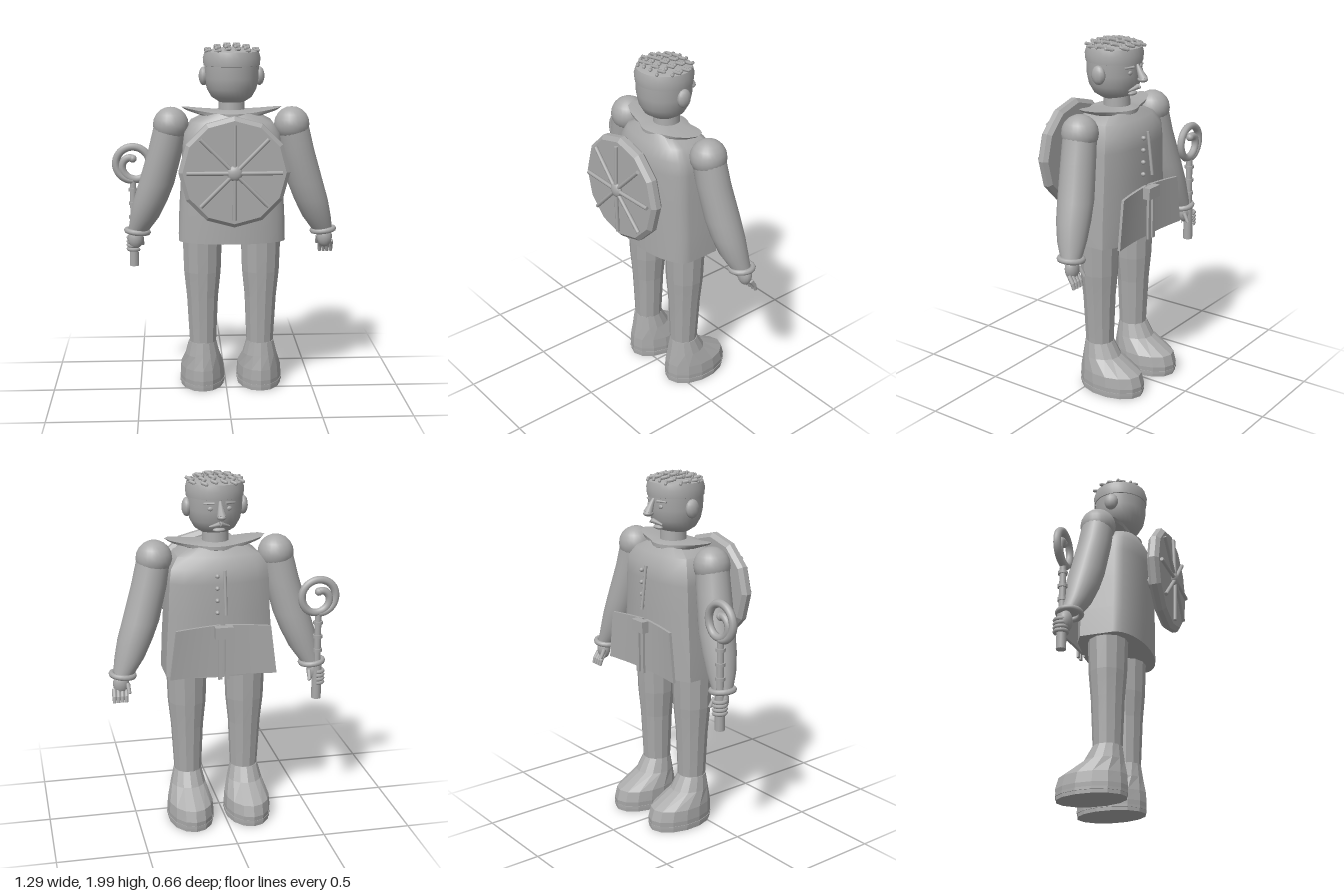
import * as THREE from 'three';
import { toCreasedNormals } from 'three/addons/utils/BufferGeometryUtils.js';

const V = (x, y, z) => new THREE.Vector3(x, y, z);

// Skin a stack of closed rings (bottom to top) and cap both ends
function loft(rings, crease) {
  const n = rings[0].length, pos = [], idx = [];
  rings.forEach(r => r.forEach(p => pos.push(p.x, p.y, p.z)));
  for (let i = 0; i < rings.length - 1; i++) {
    for (let j = 0; j < n; j++) {
      const a = i * n + j, b = i * n + (j + 1) % n;
      idx.push(a, a + n, b, b, a + n, b + n);
    }
  }
  [0, rings.length - 1].forEach((k, end) => {
    const c = rings[k].reduce((s, p) => s.add(p), V(0, 0, 0)).divideScalar(n);
    const ci = pos.length / 3;
    pos.push(c.x, c.y, c.z);
    for (let j = 0; j < n; j++) {
      const a = k * n + j, b = k * n + (j + 1) % n;
      if (end) idx.push(ci, b, a); else idx.push(ci, a, b);
    }
  });
  const g = new THREE.BufferGeometry();
  g.setAttribute('position', new THREE.Float32BufferAttribute(pos, 3));
  g.setIndex(idx);
  return toCreasedNormals(g, crease);
}

// Horizontal ellipse
function ring(cx, y, cz, rx, rz, n) {
  return Array.from({ length: n }, (_, j) => {
    const t = (j + 0.5) / n * Math.PI * 2;
    return V(cx + Math.cos(t) * rx, y, cz + Math.sin(t) * rz);
  });
}

export function createModel() {
  const grey = new THREE.MeshStandardMaterial({ color: 0xaaaaaa });
  const model = new THREE.Group();
  const figure = new THREE.Group();
  figure.name = 'figure';
  figure.position.x = 0.03;
  model.add(figure);

  function add(name, geo, x = 0, y = 0, z = 0, parent = figure) {
    const m = new THREE.Mesh(geo, grey);
    m.name = name;
    m.position.set(x, y, z);
    parent.add(m);
    return m;
  }
  const flat = g => toCreasedNormals(g, 0.05);
  const ball = (name, x, y, z, rx, ry, rz, n = 14) => {
    const m = add(name, new THREE.SphereGeometry(1, n, 10), x, y, z);
    m.scale.set(rx, ry, rz);
    return m;
  };
  // Rod between two points
  function rod(name, a, b, r0, r1 = r0, n = 8) {
    const m = add(name, new THREE.CylinderGeometry(r1, r0, a.distanceTo(b), n));
    m.position.copy(a).lerp(b, 0.5);
    m.quaternion.setFromUnitVectors(V(0, 1, 0), b.clone().sub(a).normalize());
    return m;
  }

  // Coat: round back, straight sides, shallow pointed front
  const coat = [[0.89, 0.3, 0.155, -0.225], [1.05, 0.295, 0.157, -0.225], [1.25, 0.282, 0.157, -0.225],
    [1.42, 0.275, 0.156, -0.225], [1.5, 0.265, 0.153, -0.22], [1.56, 0.225, 0.125, -0.18], [1.61, 0.13, 0.095, -0.13]];
  add('coat', loft(coat.map(([y, w, back, front]) => {
    const pts = [];
    for (let j = 0; j <= 16; j++) {
      const t = j / 16 * Math.PI;
      pts.push(V(Math.cos(t) * w, y, 0.03 + Math.sin(t) * (back - 0.03)));
    }
    [[-1, 0.7], [-0.75, 0.88], [-0.35, 0.97], [0, 1], [0.35, 0.97], [0.75, 0.88], [1, 0.7]]
      .forEach(([x, z]) => pts.push(V(x * w, y, z * front)));
    return pts;
  }), 0.7));

  // Collar with raised side points
  const collar = (y, base, point, lift) => Array.from({ length: 32 }, (_, j) => {
    const t = j / 32 * Math.PI * 2, k = Math.pow(Math.abs(Math.cos(t)), 8);
    const r = base + point * k;
    return V(Math.cos(t) * r, y + lift * k, -0.025 + Math.sin(t) * r);
  });
  add('collar', loft([collar(1.57, 0.1, 0, 0), collar(1.59, 0.13, 0.13, 0.035),
    collar(1.61, 0.13, 0.15, 0.03), collar(1.625, 0.09, 0, 0)], 0.7));

  // Neck, head and hair cap
  add('neck', new THREE.CylinderGeometry(0.07, 0.075, 0.1, 20), 0, 1.65, -0.04);
  const lathe = pts => toCreasedNormals(new THREE.LatheGeometry(pts.map(p => new THREE.Vector2(...p)), 28), 0.7);
  add('head', lathe([[0, 1.665], [0.07, 1.668], [0.112, 1.695], [0.138, 1.74], [0.15, 1.8], [0.152, 1.88]]), 0, 0, -0.023);
  add('hairCap', lathe([[0.145, 1.865], [0.156, 1.868], [0.16, 1.91], [0.15, 1.945], [0.09, 1.963], [0, 1.97]]), 0, 0, -0.023);
  for (let i = 0; i < 6; i++) {
    for (let j = 0; j < 9; j++) {
      const x = (i - 2.5) * 0.053, z = (j - 4) * 0.03;
      const d = Math.hypot(x, z);
      if (d > 0.158) continue;
      const c = add('hairCurl', new THREE.CapsuleGeometry(0.0095, 0.028, 2, 6), x, 1.983 - d * d * 1.5, z - 0.03);
      c.rotation.set(1.25, 0, (j % 2 ? 1 : -1) * 0.75);
    }
  }

  // Face: nose, brows, eyes, moustache, ears
  rod('nose', V(0, 1.86, -0.172), V(0, 1.785, -0.212), 0.008, 0.026, 8);
  ball('noseTip', 0, 1.783, -0.208, 0.026, 0.016, 0.03);
  ball('mouth', 0, 1.7, -0.143, 0.035, 0.012, 0.02);
  for (const s of [-1, 1]) {
    rod('moustache', V(0, 1.74, -0.178), V(s * 0.055, 1.722, -0.156), 0.014, 0.005);
    rod('brow', V(s * 0.03, 1.85, -0.172), V(s * 0.085, 1.848, -0.15), 0.008, 0.005);
    ball('eye', s * 0.05, 1.82, -0.163, 0.016, 0.012, 0.008);
    ball('ear', s * 0.155, 1.81, -0.03, 0.028, 0.052, 0.042, 10);
  }

  for (const s of [-1, 1]) {
    // Legs and shoes
    const cx = s * 0.167;
    add('leg', loft([[0.27, 0.165, 0.078, 0.08, -0.04], [0.55, 0.167, 0.092, 0.092, -0.04],
      [0.7, 0.167, 0.108, 0.105, -0.04], [0.9, 0.167, 0.115, 0.112, -0.04]]
      .map(([y, x, rx, rz, z]) => ring(s * x, y, z, rx, rz, 12)), 0.05));
    add('shoe', loft([[0, 0.128, 0.07, -0.325], [0.06, 0.131, 0.074, -0.33], [0.12, 0.126, 0.07, -0.312],
      [0.2, 0.1, 0.055, -0.17], [0.28, 0.08, 0.042, -0.122]]
      .map(([y, w, b, f]) => ring(cx, y, (b + f) / 2, w, (b - f) / 2, 14)), 0.05));
    add('soleEdge', loft([0.02, 0.035].map(y => ring(cx, y, -0.128, 0.133, 0.202, 14)), 0.05));

    // Sleeve, shoulder cap and cuff
    add('sleeve', loft([[0.92, 0.53, -0.125, 0.06], [1.0, 0.495, -0.105, 0.083], [1.1, 0.46, -0.09, 0.097],
      [1.2, 0.425, -0.078, 0.102], [1.4, 0.37, -0.055, 0.098], [1.54, 0.34, -0.045, 0.094]]
      .map(([y, x, z, r]) => ring(s * x, y, z, r, r * 0.95, 20)), 0.8));
    ball('shoulder', s * 0.34, 1.538, -0.045, 0.1, 0.1, 0.1, 24);
    const cuff = add('cuff', new THREE.TorusGeometry(0.062, 0.016, 8, 20), s * 0.538, 0.912, -0.13);
    cuff.rotation.set(Math.PI / 2, s * 0.12, 0);

    // Hand
    ball('palm', s * 0.55, 0.865, -0.145, 0.045, 0.06, 0.036);
    rod('thumb', V(s * 0.515, 0.87, -0.165), V(s * 0.51, 0.82, -0.195), 0.013, 0.01);
    for (let i = 0; i < 4; i++) {
      if (s > 0) {
        const x = 0.525 + i * 0.022;
        rod('finger', V(x, 0.84, -0.155), V(x + 0.002, 0.8, -0.182), 0.012);
        rod('fingerTip', V(x + 0.002, 0.803, -0.18), V(x + 0.003, 0.77, -0.19), 0.012, 0.009);
      } else {
        const f = add('finger', new THREE.TorusGeometry(0.034, 0.011, 6, 12, 4.4), -0.56, 0.8 + i * 0.022, -0.168);
        f.rotation.set(Math.PI / 2, 0, 0.6);
      }
    }
  }

  // Staff with a curled head
  rod('staffFoot', V(-0.56, 0.7, -0.165), V(-0.56, 0.9, -0.165), 0.028, 0.026, 10);
  rod('staff', V(-0.56, 0.88, -0.165), V(-0.56, 1.2, -0.165), 0.021, 0.018, 10);
  for (const y of [0.98, 1.06, 1.14]) {
    rod('staffBand', V(-0.56, y, -0.165), V(-0.56, y + 0.018, -0.165), 0.027, 0.027, 10);
  }
  const curl = [];
  for (let i = 0; i <= 28; i++) {
    const u = i / 28, t = -Math.PI / 2 - u * Math.PI * 3;
    const r = u < 0.62 ? 0.097 : 0.097 - (u - 0.62) * 0.18;
    curl.push(V(-0.56 + Math.cos(t) * r, 1.3 + Math.sin(t) * r, -0.165));
  }
  add('staffCurl', new THREE.TubeGeometry(new THREE.CatmullRomCurve3(curl), 70, 0.022, 8));
  ball('staffCurlEnd', curl[28].x, curl[28].y, -0.165, 0.023, 0.023, 0.023);

  // Round shield on the back, with hub and spokes
  const disc = add('shield', flat(new THREE.LatheGeometry([[0, -0.035], [0.28, -0.035], [0.302, -0.015],
    [0.302, 0.015], [0.28, 0.035], [0, 0.035]].map(p => new THREE.Vector2(...p)), 12)), 0, 1.315, 0.257);
  disc.rotation.x = Math.PI / 2;
  rod('shieldMount', V(0, 1.315, 0.13), V(0, 1.315, 0.23), 0.04, 0.04, 16);
  ball('shieldBoss', 0, 1.315, 0.305, 0.042, 0.042, 0.022, 20);
  for (let i = 0; i < 8; i++) {
    const t = i * Math.PI / 4;
    rod('spoke', V(0, 1.315, 0.308), V(Math.cos(t) * 0.258, 1.315 + Math.sin(t) * 0.258, 0.302), 0.011);
  }

  // Front flaps, flared and slightly bowed
  for (const s of [-1, 1]) {
    const flap = new THREE.BoxGeometry(0.27, 0.29, 0.016, 6, 1, 1);
    const p = flap.attributes.position;
    for (let i = 0; i < p.count; i++) {
      const u = (p.getX(i) + 0.135) / 0.27, low = p.getY(i) < 0;
      const k = s > 0 ? u : 1 - u;
      p.setXYZ(i, s * (0.012 + k * (low ? 0.285 : 0.25)), p.getY(i) - (low ? 0 : k * 0.015),
        p.getZ(i) - 0.243 - k * k * 0.022);
    }
    add('frontFlap', toCreasedNormals(flap, 0.6), 0, 1.055, 0);
    add('strap', new THREE.BoxGeometry(0.022, 0.25, 0.014), s * 0.02, 1.02, -0.27);
  }
  add('buckle', new THREE.BoxGeometry(0.1, 0.065, 0.045), 0, 1.165, -0.272);

  // Coat fastening
  rod('fastening', V(-0.012, 1.5, -0.238), V(-0.012, 1.26, -0.268), 0.009);
  for (let i = 0; i < 4; i++) ball('button', 0.028, 1.47 - i * 0.068, -0.236, 0.012, 0.012, 0.014, 10);

  return model;
}
